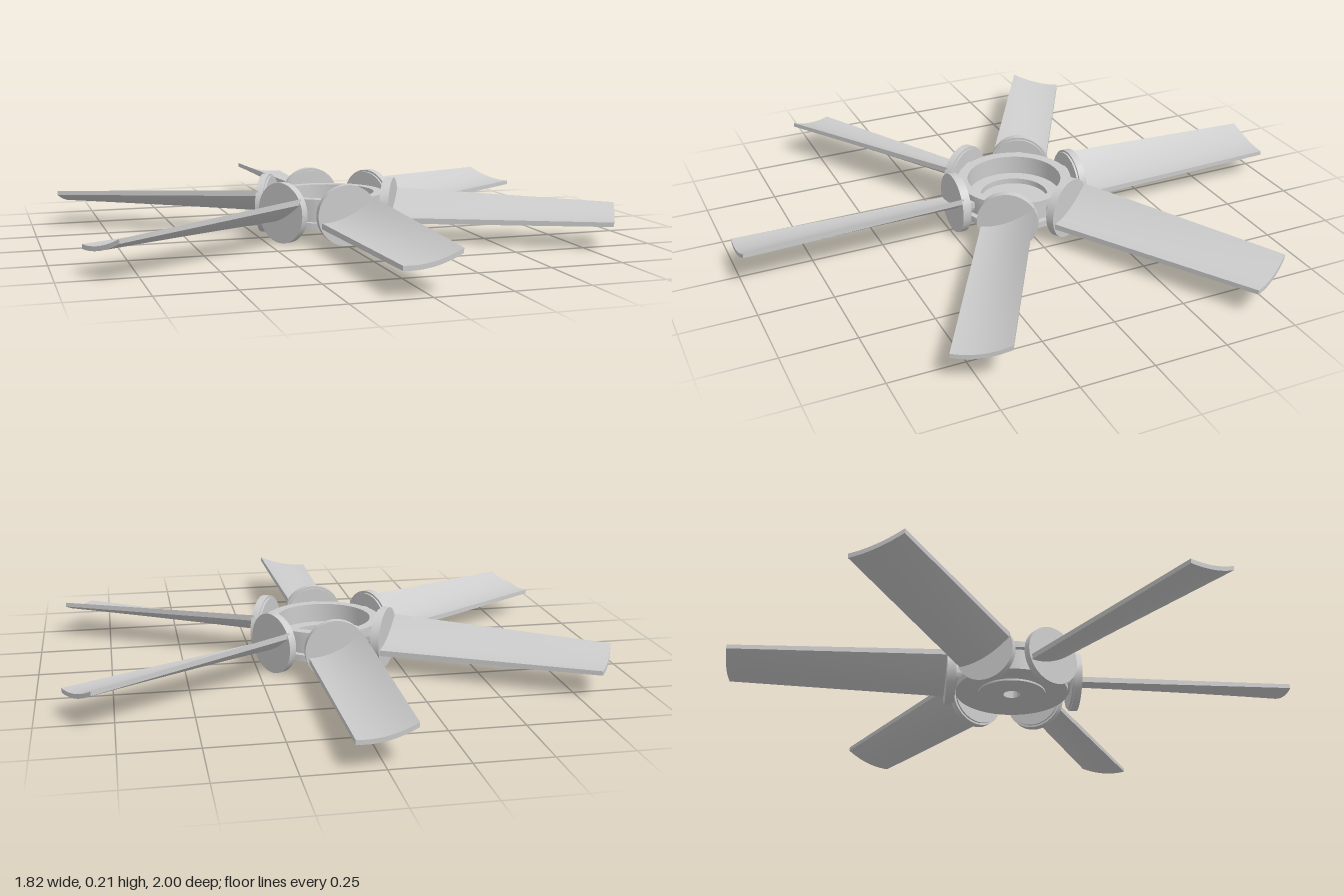
import * as THREE from 'three';
import { toCreasedNormals } from 'three/addons/utils/BufferGeometryUtils.js';

const material = new THREE.MeshStandardMaterial({ color: 0xcccccc });
const BLADES = 6;
const MID_Y = 0.107;

function lathe(points, segments = 64) {
  const profile = points.map(([r, y]) => new THREE.Vector2(r, y));
  return toCreasedNormals(new THREE.LatheGeometry(profile, segments), 0.5);
}

// Scooped, pitched blade along +z; pitch and scoop ease off toward a rounded tip
function bladeGeometry() {
  const geo = new THREE.BoxGeometry(2, 1, 1, 16, 1, 12);
  const pos = geo.attributes.position;
  const lerp = THREE.MathUtils.lerp;
  for (let i = 0; i < pos.count; i++) {
    const s = pos.getX(i);
    const t = pos.getZ(i) + 0.5;
    const x = 0.092 * s;
    const scoop = lerp(0.02, 0.013, t);
    const top = 0.105 + lerp(0.04, 0.02, t) * s + scoop * s * s;
    const thickness = lerp(0.02, 0.015, t);
    const y = top - (0.5 - pos.getY(i)) * thickness;
    pos.setXYZ(i, x, y, lerp(0.23, Math.sqrt(1 - x * x), t));
  }
  geo.computeVertexNormals();
  return geo;
}

export function createModel() {
  const group = new THREE.Group();
  group.name = 'fanRotor';

  const add = (parent, geo, name) => {
    const mesh = new THREE.Mesh(geo, material);
    mesh.name = name;
    parent.add(mesh);
    return mesh;
  };

  // Open stepped hub with a shaft hole and a grooved outer wall
  add(group, lathe([
    [0.03, 0.045], [0.12, 0.045], [0.12, 0.052], [0.2, 0.052],
    [0.2, 0.075], [0.18, 0.075], [0.18, 0.135], [0.2, 0.135],
    [0.2, 0.157], [0.165, 0.157], [0.165, 0.09], [0.12, 0.09],
    [0.12, 0.07], [0.03, 0.07], [0.03, 0.045],
  ]), 'hub');

  // Blade mount: short neck, inner plate and wider outer plate
  const mountGeo = lathe([
    [0, 0.17], [0.05, 0.17], [0.05, 0.205], [0.098, 0.205], [0.098, 0.212],
    [0.105, 0.212], [0.105, 0.238], [0, 0.238],
  ], 48);
  mountGeo.rotateX(Math.PI / 2);
  mountGeo.translate(0, MID_Y, 0);
  const bladeGeo = bladeGeometry();

  for (let i = 0; i < BLADES; i++) {
    const arm = new THREE.Group();
    arm.name = `bladeArm${i + 1}`;
    arm.rotation.y = (i * Math.PI * 2) / BLADES;
    add(arm, mountGeo, 'mountDisc');
    add(arm, bladeGeo, 'blade');
    group.add(arm);
  }

  return group;
}
